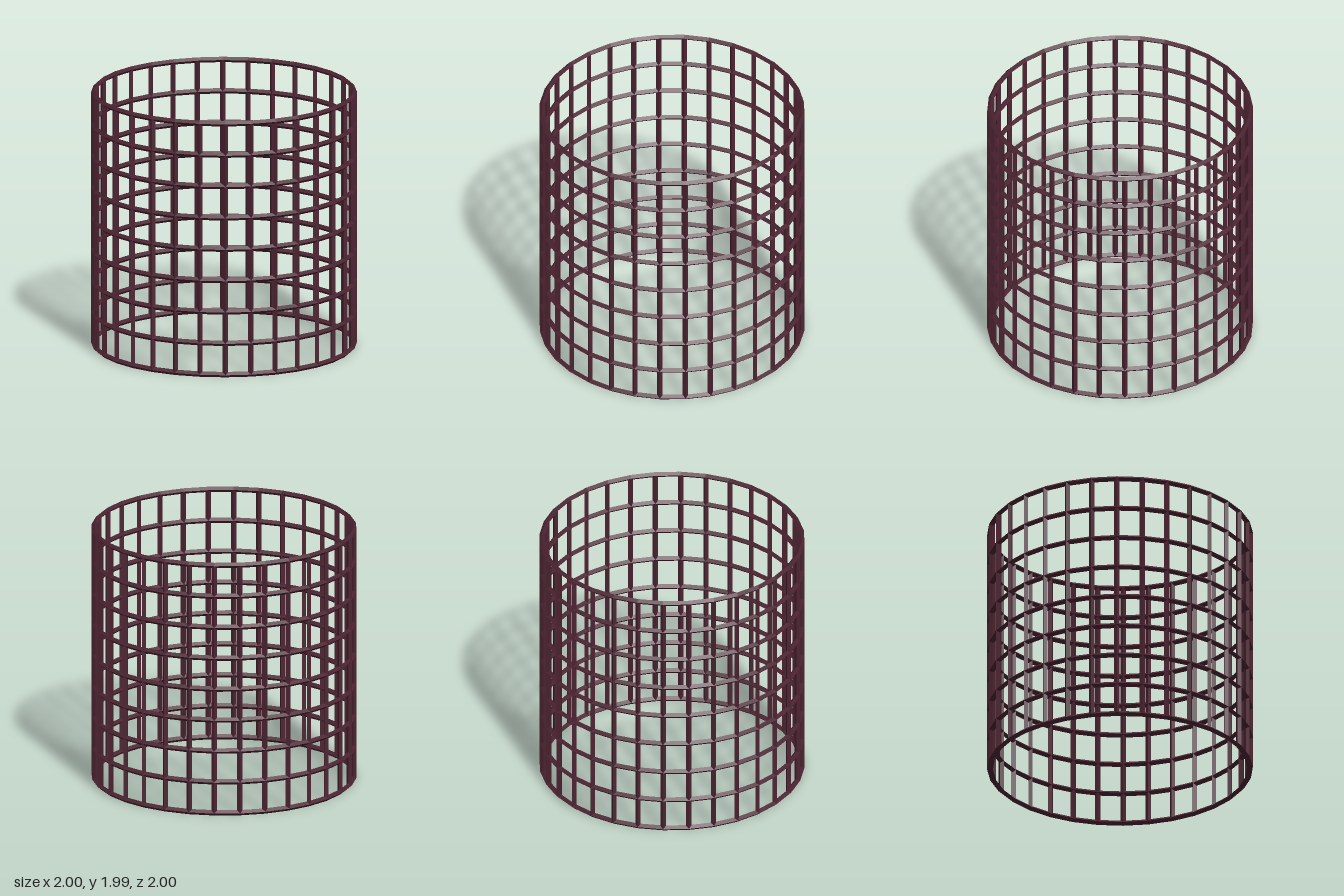
import * as THREE from 'three';

const SIDES = 32, ROWS = 8;
const RADIUS = 0.978;          // centreline of the bars
const DEPTH = 0.022;           // radial half thickness
const HALF = 0.021;            // half width of a bar
const BOTTOM = 0.021, TOP = 1.969;

export function createModel() {
  const model = new THREE.Group();
  model.name = 'cylindricalLattice';
  const material = new THREE.MeshStandardMaterial({ color: 0x4d2432, flatShading: true });

  // Horizontal hoops: diamond section swept round a 32-sided ring
  const section = [[0, -HALF], [DEPTH, 0], [0, HALF], [-DEPTH, 0], [0, -HALF]]
    .map(([r, y]) => new THREE.Vector2(RADIUS + r, y));
  const hoopGeometry = new THREE.LatheGeometry(section, SIDES);
  const hoops = new THREE.Group();
  hoops.name = 'hoops';
  for (let i = 0; i <= ROWS; i++) {
    const hoop = new THREE.Mesh(hoopGeometry, material);
    hoop.name = 'hoop';
    hoop.position.y = BOTTOM + (TOP - BOTTOM) * i / ROWS;
    hoops.add(hoop);
  }

  // Upright bars: four-sided diamond rods at every corner of the hoops
  const barGeometry = new THREE.CylinderGeometry(1, 1, TOP - BOTTOM, 4, 1, true);
  barGeometry.scale(HALF, 1, DEPTH);
  barGeometry.translate(0, (TOP + BOTTOM) / 2, RADIUS);
  const bars = new THREE.Group();
  bars.name = 'uprightBars';
  for (let i = 0; i < SIDES; i++) {
    const bar = new THREE.Mesh(barGeometry, material);
    bar.name = 'uprightBar';
    bar.rotation.y = i / SIDES * Math.PI * 2;
    bars.add(bar);
  }

  model.add(hoops, bars);
  return model;
}
